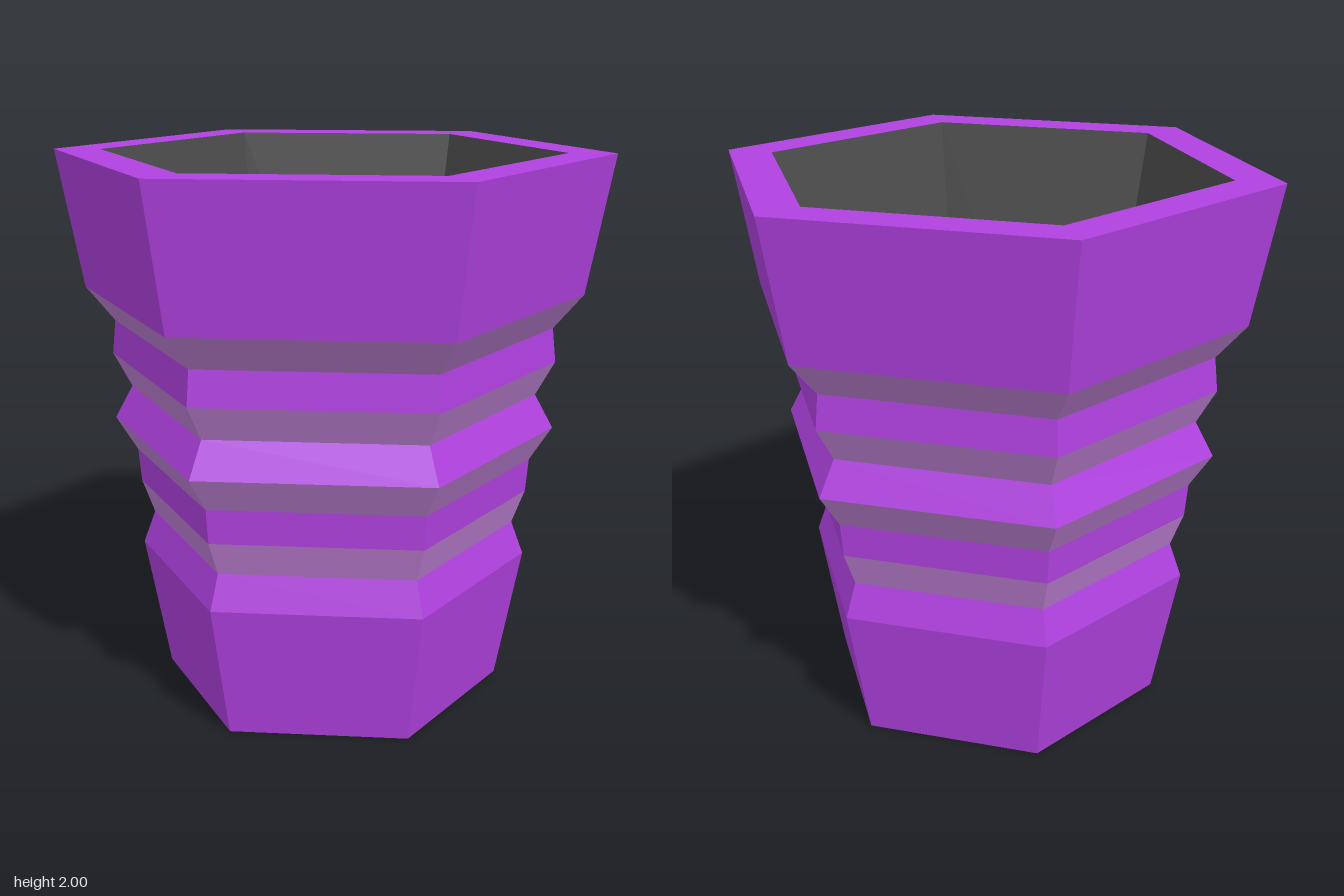
import * as THREE from 'three';

const SIDES = 6;

export function createModel() {
  const mat = (name, color) => {
    const m = new THREE.MeshStandardMaterial({ color });
    m.name = name;
    return m;
  };
  const purple = mat('purple', 0xb041e0);
  const mauve = mat('mauve', 0xbe80d4);
  const grey = mat('darkGrey', 0x4c4c4c);

  const model = new THREE.Group();
  model.name = 'hexagonalCup';

  const add = (name, geometry, material) => {
    const mesh = new THREE.Mesh(geometry, material);
    mesh.name = name;
    model.add(mesh);
  };

  // One faceted hexagonal ring between two [radius, height] points
  const ring = (name, from, to, material) => {
    const points = [from, to].map(([r, y]) => new THREE.Vector2(r, y));
    const geometry = new THREE.LatheGeometry(points, SIDES).toNonIndexed();
    geometry.computeVertexNormals();
    add(name, geometry, material);
  };

  // Flat hexagon facing up (dir = 1) or down (dir = -1)
  const disc = (name, radius, y, dir, material) => {
    const geometry = new THREE.CircleGeometry(radius, SIDES, Math.PI / 2);
    geometry.rotateX(-dir * Math.PI / 2).translate(0, y, 0);
    add(name, geometry, material);
  };

  // Outer wall, bottom to top: the grooves' undersides are mauve
  const profile = [
    [0.637, 0], [0.728, 0.5], [0.682, 0.625], [0.728, 0.75], [0.738, 0.875], [0.818, 1],
    [0.75, 1.125], [0.818, 1.25], [0.804, 1.375], [0.91, 1.5], [1, 2],
  ];
  const mauveBands = [2, 4, 6, 8];
  for (let i = 0; i < profile.length - 1; i++) {
    const isMauve = mauveBands.includes(i);
    ring((isMauve ? 'mauveBand' : 'purpleBand') + i, profile[i], profile[i + 1], isMauve ? mauve : purple);
  }

  // Base, rim and tapered cavity
  disc('base', 0.637, 0, -1, purple);
  ring('rim', [1, 2], [0.83, 2], purple);
  ring('cavityWall', [0.83, 2], [0.5, 0.3], grey);
  disc('cavityFloor', 0.5, 0.3, 1, grey);

  return model;
}
